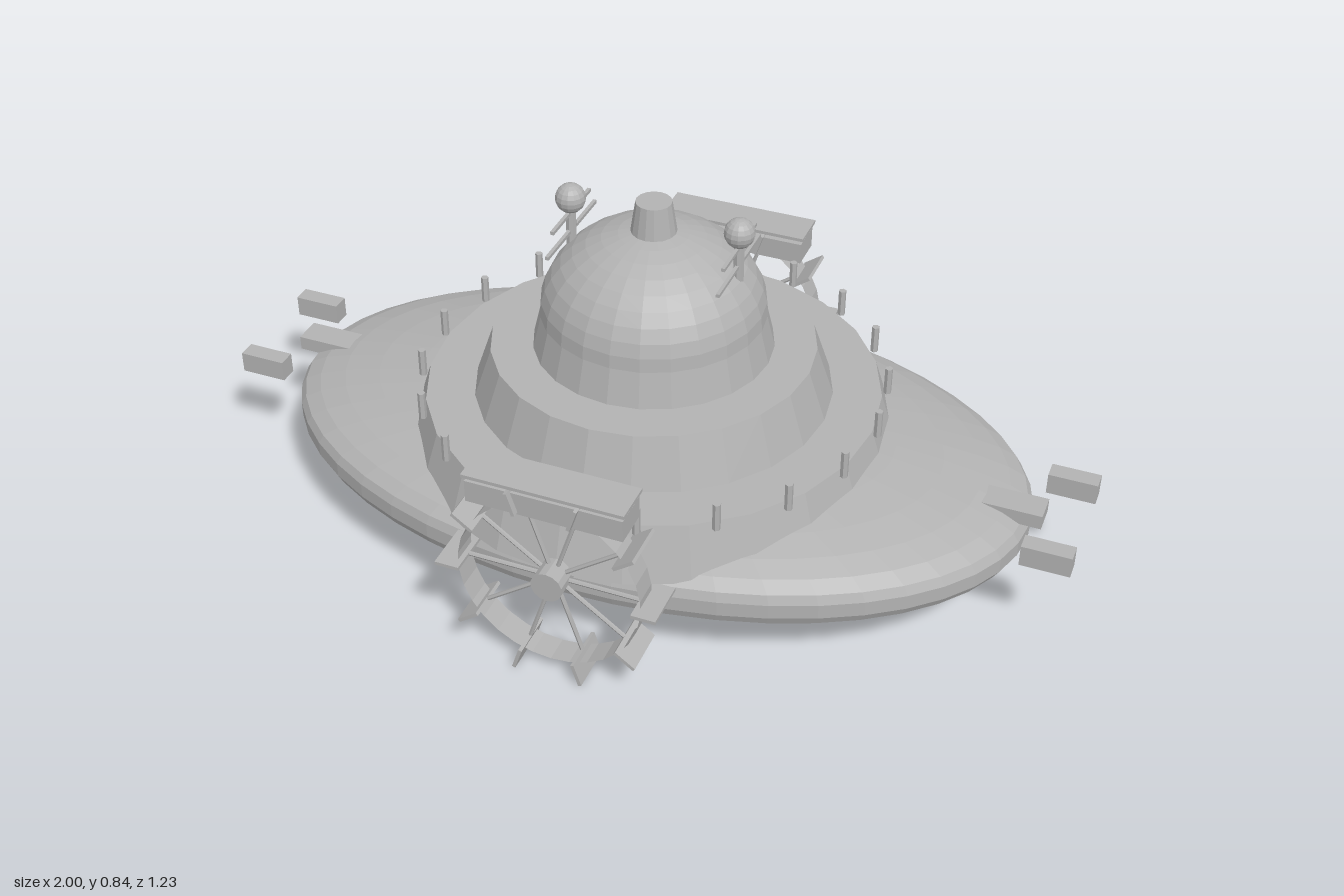
import * as THREE from 'three';

export function createModel() {
  const model = new THREE.Group();
  const grey = new THREE.MeshStandardMaterial({ color: 0xb2b2b2 });
  grey.name = 'hull grey';
  const greyThin = new THREE.MeshStandardMaterial({ color: 0xb2b2b2, side: THREE.DoubleSide });
  greyThin.name = 'hull grey thin';

  // faceted mesh helper
  const add = (parent, name, geo, x = 0, y = 0, z = 0, mat = grey) => {
    const flat = geo.index ? geo.toNonIndexed() : geo;
    flat.computeVertexNormals();
    const mesh = new THREE.Mesh(flat, mat);
    mesh.name = name;
    mesh.position.set(x, y, z);
    parent.add(mesh);
    return mesh;
  };
  const box = (parent, name, w, h, d, x, y, z) =>
    add(parent, name, new THREE.BoxGeometry(w, h, d), x, y, z);
  const tier = (name, rTop, rBottom, y0, y1, sides = 24) =>
    add(model, name, new THREE.CylinderGeometry(rTop, rBottom, y1 - y0, sides), 0, (y0 + y1) / 2, 0);

  // oval hull: shallow bowl, upright band and low domed deck
  const profile = [];
  for (let i = 0; i <= 9; i++) {
    const a = (i / 9) * Math.PI / 2;
    profile.push(new THREE.Vector2(Math.sin(a), 0.19 - 0.122 * Math.cos(a)));
  }
  for (let i = 0; i <= 9; i++) {
    const a = (i / 9) * Math.PI / 2;
    profile.push(new THREE.Vector2(Math.cos(a), 0.225 + 0.12 * Math.sin(a)));
  }
  profile[0].x = profile[profile.length - 1].x = 0;
  add(model, 'hull', new THREE.LatheGeometry(profile, 48).scale(0.88, 1, 0.53));

  // stacked superstructure
  tier('lowerDeck', 0.515, 0.555, 0.25, 0.375);
  tier('middleDeck', 0.365, 0.405, 0.375, 0.492);
  tier('domeBase', 0.25, 0.27, 0.492, 0.575);
  const dome = new THREE.SphereGeometry(1, 24, 10, 0, Math.PI * 2, 0, Math.PI / 2);
  add(model, 'dome', dome.scale(0.253, 0.203, 0.253), 0, 0.575, 0);
  tier('domeCap', 0.04, 0.052, 0.765, 0.845, 16);

  // railing posts around the lower deck
  for (let i = 0; i < 20; i++) {
    const a = (i / 20) * Math.PI * 2;
    add(model, 'railingPost', new THREE.CylinderGeometry(0.009, 0.009, 0.066, 6),
      0.527 * Math.cos(a), 0.4, 0.527 * Math.sin(a));
  }

  for (const s of [-1, 1]) {
    // antenna with two crossbars and a ball
    const antenna = new THREE.Group();
    antenna.name = s > 0 ? 'leftAntenna' : 'rightAntenna';
    antenna.position.x = s * 0.195;
    model.add(antenna);
    add(antenna, 'mast', new THREE.CylinderGeometry(0.012, 0.012, 0.1, 8), 0, 0.742, 0);
    add(antenna, 'ball', new THREE.SphereGeometry(0.034, 14, 10), 0, 0.81, 0);
    box(antenna, 'upperCrossbar', 0.008, 0.008, 0.2, 0, 0.776, 0);
    box(antenna, 'lowerCrossbar', 0.008, 0.008, 0.26, 0, 0.73, 0);

    // end fittings beyond the tips of the hull
    box(model, 'tipBlock', 0.15, 0.034, 0.066, s * 0.835, 0.263, 0);
    for (const t of [-1, 1]) box(model, 'thruster', 0.11, 0.05, 0.042, s * 0.945, 0.26, t * 0.13);

    // paddle wheel on the front and back sides
    const wheel = new THREE.Group();
    wheel.name = s > 0 ? 'frontPaddleWheel' : 'backPaddleWheel';
    wheel.position.set(0, 0.245, s * 0.56);
    model.add(wheel);
    const rim = new THREE.CylinderGeometry(0.208, 0.208, 0.062, 30, 1, true).rotateX(Math.PI / 2);
    add(wheel, 'rim', rim, 0, 0, 0, greyThin);
    add(wheel, 'hub', new THREE.CylinderGeometry(0.036, 0.036, 0.08, 14).rotateX(Math.PI / 2));
    for (let i = 0; i < 10; i++) {
      const arm = new THREE.Group();
      arm.name = 'paddleArm';
      arm.rotation.z = (i / 10) * Math.PI * 2;
      wheel.add(arm);
      add(arm, 'spoke', new THREE.CylinderGeometry(0.005, 0.005, 0.2, 6).rotateZ(Math.PI / 2), 0.1, 0, 0);
      box(arm, 'paddle', 0.055, 0.008, 0.112, 0.223, 0, 0);
    }

    // wheel housing and its raised lid
    box(model, 'wheelHousing', 0.35, 0.052, 0.088, 0, 0.452, s * 0.557);
    box(model, 'housingLid', 0.36, 0.008, 0.096, 0, 0.493, s * 0.558);
  }
  return model;
}
